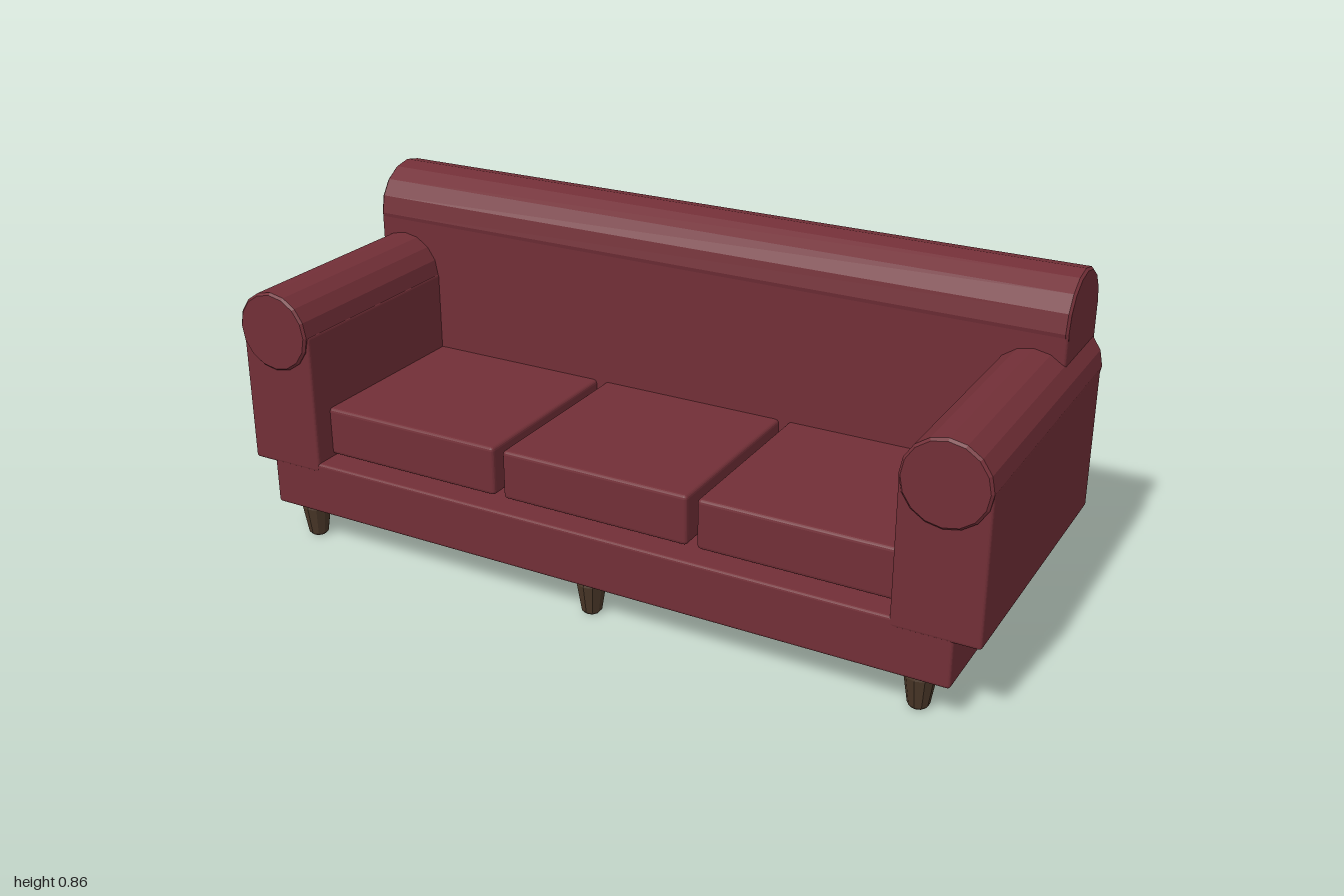
import * as THREE from 'three';
import { RoundedBoxGeometry } from 'three/addons/geometries/RoundedBoxGeometry.js';

export function createModel() {
  const sofa = new THREE.Group();
  sofa.name = 'sofa';

  const upholstery = new THREE.MeshStandardMaterial({ color: 0x722f37 });
  upholstery.name = 'wine upholstery';
  const wood = new THREE.MeshStandardMaterial({ color: 0x4a3728 });
  wood.name = 'dark wood';
  upholstery.flatShading = wood.flatShading = true;

  function add(name, geometry, material) {
    const mesh = new THREE.Mesh(geometry, material);
    mesh.name = name;
    sofa.add(mesh);
    return mesh;
  }

  // Softly bevelled block given by its extents on each axis
  function block(name, [x0, x1], [y0, y1], [z0, z1], bevel = 0.008) {
    const geometry = new RoundedBoxGeometry(x1 - x0, y1 - y0, z1 - z0, 2, bevel);
    geometry.translate((x0 + x1) / 2, (y0 + y1) / 2, (z0 + z1) / 2);
    return add(name, geometry, upholstery);
  }

  // Turned solid from [radius, height] pairs, bottom to top
  function turned(points, sides) {
    return new THREE.LatheGeometry(points.map(([r, y]) => new THREE.Vector2(r, y)), sides);
  }

  // Padded roll with bevelled ends, along y
  function roll(radius, length) {
    const h = length / 2, b = 0.006;
    return turned([[0, -h], [radius - b, -h], [radius, -h + b],
      [radius, h - b], [radius - b, h], [0, h]], 16);
  }

  block('base', [-0.935, 0.935], [0.093, 0.235], [-0.385, 0.395]);

  // Backrest with its rolled top
  block('backrest', [-0.97, 0.97], [0.235, 0.74], [-0.404, -0.16]);
  const backRoll = add('backRoll', roll(0.123, 1.94).rotateZ(Math.PI / 2), upholstery);
  backRoll.position.set(0, 0.735, -0.281);

  // Arms with rolled tops
  for (const side of [-1, 1]) {
    const label = side > 0 ? 'left' : 'right';
    const xs = side > 0 ? [0.787, 0.998] : [-0.998, -0.787];
    block(label + 'Arm', xs, [0.21, 0.585], [-0.386, 0.396]);
    const armRoll = add(label + 'ArmRoll', roll(0.105, 0.8).rotateX(Math.PI / 2), upholstery);
    armRoll.position.set(side * 0.894, 0.583, 0.005);
  }

  // Three seat cushions
  for (const x of [-0.538, 0, 0.538]) {
    block('seatCushion', [x - 0.256, x + 0.256], [0.24, 0.37], [-0.2, 0.336], 0.01);
  }

  // Six tapered feet
  const foot = turned([[0, 0], [0.02, 0], [0.026, 0.007], [0.038, 0.082], [0.034, 0.094], [0, 0.094]], 10);
  for (const x of [-0.85, 0, 0.85]) {
    for (const z of [-0.335, 0.345]) {
      add('foot', foot, wood).position.set(x, 0, z);
    }
  }

  return sofa;
}
